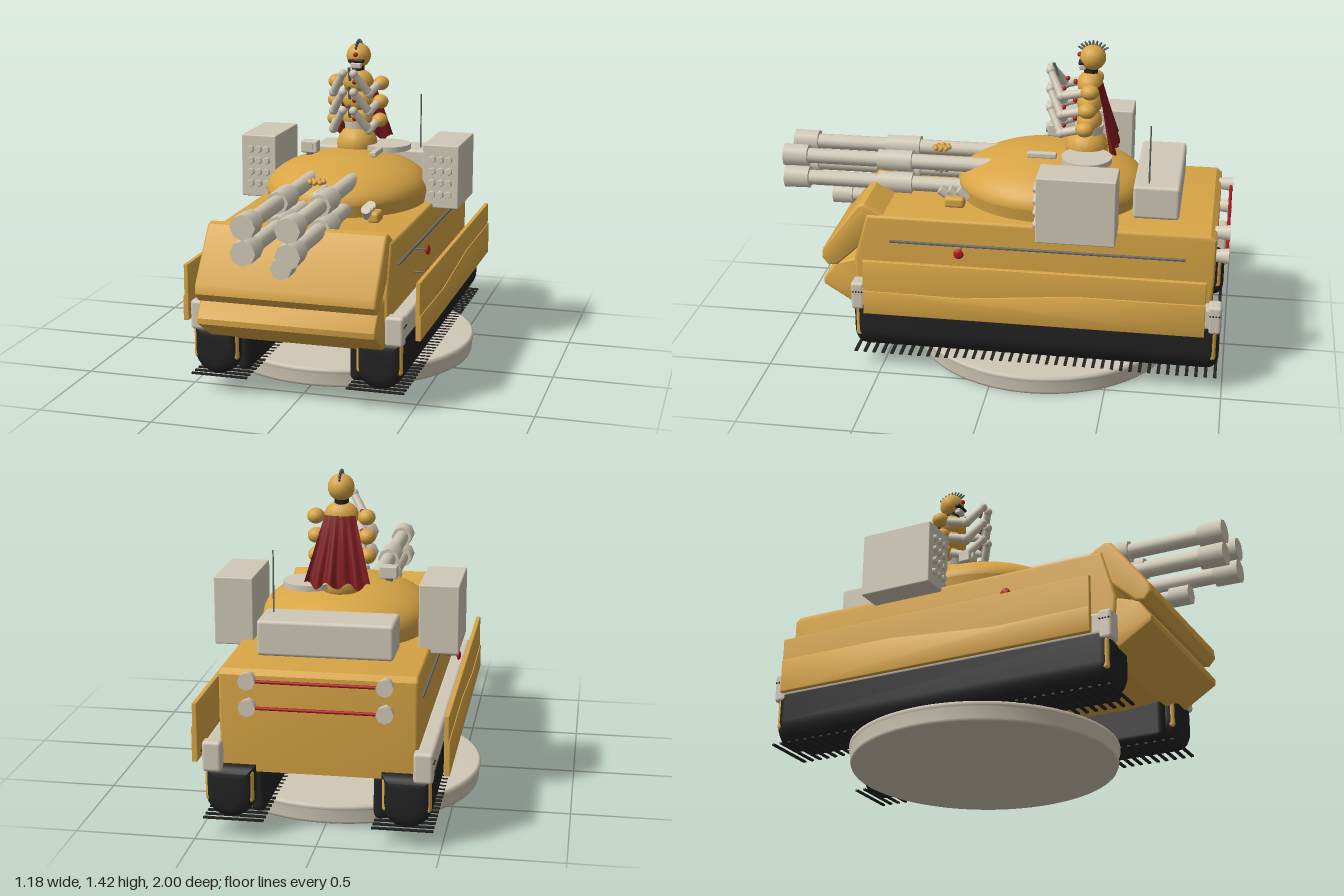
import * as THREE from 'three';
import { toCreasedNormals } from 'three/addons/utils/BufferGeometryUtils.js';
import { RoundedBoxGeometry } from 'three/addons/geometries/RoundedBoxGeometry.js';

const mat = (name, color, side = THREE.FrontSide) => {
  const m = new THREE.MeshStandardMaterial({ color, side });
  m.name = name;
  return m;
};
const V = (x, y, z) => new THREE.Vector3(x, y, z);

export function createModel() {
  const gold = mat('gold', 0xd8a545), ivory = mat('ivory', 0xd0c8b6), black = mat('black', 0x222222);
  const red = mat('red', 0xb0181f), crimson = mat('crimson', 0x7c181b, THREE.DoubleSide), steel = mat('steel', 0x64686a);
  const root = new THREE.Group();

  const group = (name, parent = root) => {
    const g = new THREE.Group();
    g.name = name;
    parent.add(g);
    return g;
  };
  const add = (parent, name, geo, m, x = 0, y = 0, z = 0) => {
    const mesh = new THREE.Mesh(geo, m);
    mesh.name = name;
    mesh.position.set(x, y, z);
    parent.add(mesh);
    return mesh;
  };
  const box = (p, name, m, w, h, d, x, y, z, r = 0.015) =>
    add(p, name, new RoundedBoxGeometry(w, h, d, 2, r), m, x, y, z);
  const ball = (p, name, m, r, x, y, z, sx = 1, sy = 1, sz = 1) => {
    const b = add(p, name, new THREE.SphereGeometry(r, 16, 12), m, x, y, z);
    b.scale.set(sx, sy, sz);
    return b;
  };
  // Cylinder from point a to point b
  const rod = (p, name, m, a, b, r0, r1 = r0, sides = 12) => {
    const c = add(p, name, new THREE.CylinderGeometry(r1, r0, a.distanceTo(b), sides), m);
    c.position.copy(a).add(b).multiplyScalar(0.5);
    c.quaternion.setFromUnitVectors(V(0, 1, 0), b.clone().sub(a).normalize());
    return c;
  };
  const extrude = (shape, depth, bevel) => {
    const g = new THREE.ExtrudeGeometry(shape, {
      depth: depth - 2 * bevel, bevelEnabled: true, bevelThickness: bevel, bevelSize: bevel,
      bevelOffset: -bevel, bevelSegments: 4, curveSegments: 12,
    });
    g.translate(0, 0, bevel - depth / 2);
    return toCreasedNormals(g, 0.6);
  };
  // Side profile given as [z, y] points, extruded across x
  const sideProfile = (pts, width, bevel) =>
    extrude(new THREE.Shape(pts.map(([z, y]) => new THREE.Vector2(z, y))), width, bevel).rotateY(-Math.PI / 2);

  // Display base
  add(root, 'displayBase', new THREE.LatheGeometry([[0, 0], [0.58, 0], [0.585, 0.012], [0.585, 0.06], [0.592, 0.065],
    [0.592, 0.08], [0.58, 0.086], [0, 0.086]].map(([x, y]) => new THREE.Vector2(x, y)), 64), ivory, 0, 0, -0.18);

  // Hull with sloped nose plates
  const hull = group('hull');
  add(hull, 'hullBody', sideProfile([[-0.93, 0.28], [-0.945, 0.5], [-0.945, 0.69], [-0.92, 0.71], [0.56, 0.71],
    [0.62, 0.5], [0.6, 0.27], [0.4, 0.25], [-0.7, 0.25]], 0.8, 0.012), gold);
  add(hull, 'upperNosePlate', sideProfile([[0.49, 0.71], [0.57, 0.757], [0.6, 0.75], [0.765, 0.53], [0.77, 0.49],
    [0.74, 0.455], [0.7, 0.46], [0.55, 0.6]], 0.78, 0.012), gold);
  add(hull, 'lowerNosePlate', sideProfile([[0.6, 0.5], [0.71, 0.465], [0.767, 0.385], [0.765, 0.36], [0.63, 0.275],
    [0.58, 0.25], [0.5, 0.3]], 0.77, 0.012), gold);

  // Nose gun
  rod(hull, 'noseGunBarrel', ivory, V(0, 0.635, 0.6), V(0, 0.635, 0.75), 0.032);
  rod(hull, 'noseGunMuzzle', ivory, V(0, 0.635, 0.715), V(0, 0.635, 0.805), 0.045, 0.045, 8);

  for (const s of [-1, 1]) {
    // Track unit
    const track = group(s > 0 ? 'leftTrack' : 'rightTrack');
    const u = new THREE.Shape();
    u.moveTo(-0.105, 0.31);
    u.lineTo(-0.105, 0.19);
    u.absarc(0, 0.19, 0.105, Math.PI, 2 * Math.PI, false);
    u.lineTo(0.105, 0.31);
    add(track, 'trackBelt', extrude(u, 1.6, 0.05), black, s * 0.36, 0, -0.18);
    box(track, 'trackInnerRun', black, 0.06, 0.2, 1.5, s * 0.25, 0.2, -0.18, 0.028);
    box(track, 'trackEndGuard', gold, 0.2, 0.14, 1.575, s * 0.36, 0.225, -0.18);
    for (let i = 0; i < 40; i++)
      add(track, 'cleat', new THREE.BoxGeometry(0.25, 0.007, 0.014), black, s * 0.345, 0.084, 0.61 - i * 0.0405);

    // Fender and its end caps
    box(track, 'fender', ivory, 0.07, 0.1, 1.58, s * 0.43, 0.355, -0.18);
    for (const z of [0.595, -0.955]) {
      box(track, 'fenderCap', ivory, 0.08, 0.13, 0.06, s * 0.427, 0.35, z);
      for (let i = 0; i < 4; i++) ball(track, 'rivet', black, 0.004, s * 0.468, 0.373, z - 0.02 + i * 0.013);
    }

    // Side skirt in two overlapping panels
    const skirt = group(s > 0 ? 'leftSkirt' : 'rightSkirt');
    add(skirt, 'skirtPanel', sideProfile([[-0.915, 0.31], [0.555, 0.31], [0.555, 0.55], [-0.915, 0.55]], 0.02, 0.004),
      gold, s * 0.511);
    add(skirt, 'skirtLowerPanel', sideProfile([[-0.915, 0.3], [0.555, 0.3], [0.555, 0.41], [0.12, 0.405],
      [-0.37, 0.45], [-0.915, 0.45]], 0.024, 0.004), gold, s * 0.514);

    // Side rail and lamps
    box(hull, 'sideRail', steel, 0.012, 0.01, 1.28, s * 0.404, 0.597, -0.18, 0.003);
    for (const y of [0.582, 0.478]) {
      ball(hull, 'sideLamp', red, 0.022, s * 0.457, y, 0.145, 0.45, 1, 1);
      rod(hull, 'lampStem', steel, V(s * 0.4, y, 0.145), V(s * 0.455, y, 0.145), 0.004);
    }

    // Rocket pod with twelve tubes
    const pod = group(s > 0 ? 'leftRocketPod' : 'rightRocketPod');
    box(pod, 'podCase', ivory, 0.168, 0.292, 0.335, s * 0.433, 0.832, -0.36, 0.006);
    for (let i = 0; i < 12; i++) {
      const x = s * 0.433 + (i % 3 - 1) * 0.038, y = 0.75 + Math.floor(i / 3) * 0.054;
      rod(pod, 'rocketTip', ivory, V(x, y, -0.2), V(x, y, -0.178), 0.02, 0.015, 6);
    }

    // Twin cannons on each side, with sleeve and muzzle
    for (const y of [0.85, 0.745]) {
      const gun = group('cannon'), x = s * 0.092;
      rod(gun, 'barrel', ivory, V(x, y, 0.02), V(x, y, 0.92), 0.034);
      rod(gun, 'barrelTail', ivory, V(x, y, -0.03), V(x, y, 0.1), 0.004, 0.034);
      rod(gun, 'sleeve', ivory, V(x, y, 0.415), V(x, y, 0.57), 0.051, 0.049, 8);
      rod(gun, 'muzzle', ivory, V(x, y, 0.89), V(x, y, 1), 0.051, 0.053, 8);
    }

    // Smoke launchers
    for (let i = 0; i < 3; i++)
      rod(root, 'smokeLauncher', ivory, V(s * 0.205, 0.735, 0.15 + i * 0.035), V(s * 0.21, 0.775, 0.19 + i * 0.04), 0.022);
    box(root, 'launcherBracket', gold, 0.05, 0.05, 0.09, s * 0.235, 0.73, 0.2);

    // Rear lamps
    for (const y of [0.57, 0.68])
      rod(hull, 'rearLamp', ivory, V(s * 0.275, y, -0.935), V(s * 0.275, y, -1), 0.027, 0.036, 8);
  }
  for (const y of [0.57, 0.68]) rod(hull, 'rearBar', red, V(-0.27, y, -0.99), V(0.27, y, -0.99), 0.007);

  // Turret dome and fittings
  const turret = group('turret');
  const dome = add(turret, 'turretDome', new THREE.SphereGeometry(1, 48, 12, 0, 2 * Math.PI, 0, Math.PI / 2), gold, 0, 0.765, -0.2);
  dome.scale.set(0.37, 0.16, 0.42);
  const ring = add(turret, 'turretRing', new THREE.CylinderGeometry(1, 0.97, 0.06, 48), gold, 0, 0.736, -0.2);
  ring.scale.set(0.37, 1, 0.42);
  box(turret, 'stowageBox', ivory, 0.56, 0.15, 0.2, 0, 0.795, -0.68);
  rod(turret, 'antenna', steel, V(0.235, 0.86, -0.645), V(0.235, 1.13, -0.645), 0.004, 0.003, 6);
  rod(turret, 'hatchLid', ivory, V(0.14, 0.915, -0.365), V(0.14, 0.94, -0.365), 0.11, 0.11, 24);
  box(turret, 'sightBox', ivory, 0.078, 0.055, 0.055, -0.178, 0.943, -0.185, 0.006);
  rod(turret, 'sightLens', ivory, V(-0.178, 0.945, -0.16), V(-0.178, 0.945, -0.148), 0.022);
  box(turret, 'sightStand', steel, 0.03, 0.06, 0.03, -0.178, 0.89, -0.185, 0.004);
  box(turret, 'sideArmGun', ivory, 0.03, 0.025, 0.13, 0.14, 0.935, -0.17, 0.006);

  // Beaded ornaments between the cannons
  rod(turret, 'ornamentArm', ivory, V(0, 0.83, 0.1), V(0, 0.83, 0.31), 0.018);
  ball(turret, 'ornamentHub', ivory, 0.02, 0, 0.83, 0.31);
  for (const y of [0.79, 0.89]) {
    ball(turret, 'ornamentCore', gold, 0.022, 0, y, 0.3, 1, 0.5, 1);
    for (let i = 0; i < 8; i++) {
      const a = i * Math.PI / 4;
      ball(turret, 'ornamentBead', gold, 0.011, 0.032 * Math.cos(a), y, 0.3 + 0.032 * Math.sin(a));
    }
  }

  // Commander: stacked armour with three pairs of arms
  const fig = group('commander');
  ball(fig, 'cupola', gold, 0.095, 0, 0.935, -0.35, 1, 0.95, 1);
  rod(fig, 'waistRing', ivory, V(0, 1.0, -0.36), V(0, 1.04, -0.36), 0.06, 0.065);
  [1.05, 1.135, 1.22].forEach((y, k) => {
    ball(fig, 'chestPlate', gold, 0.07, 0, y + 0.005, -0.36, 1.05, 0.85, 0.8);
    ball(fig, 'chestGem', red, 0.011, 0, y + 0.01, -0.297);
    for (const s of [-1, 1]) {
      const z = -0.35 - k * 0.01;
      const shoulder = V(s * 0.1, y, z), elbow = V(s * 0.085, y - 0.03, -0.245), hand = V(s * 0.025, y + 0.065, -0.19);
      ball(fig, 'shoulderPad', gold, 0.037, s * 0.108, y, z, 1, 0.9, 1.1);
      rod(fig, 'upperArm', ivory, shoulder, elbow, 0.019);
      ball(fig, 'elbow', ivory, 0.022, ...elbow.toArray());
      rod(fig, 'forearm', ivory, elbow, hand, 0.02, 0.016);
      ball(fig, 'hand', ivory, 0.02, ...hand.toArray());
      ball(fig, 'cuffGem', red, 0.01, s * 0.07, y, -0.255);
    }
    rod(fig, 'heldPiece', steel, V(0, y + 0.03, -0.22), V(0, y + 0.09, -0.2), 0.007);
  });

  // Head with visor and fanned crest
  rod(fig, 'neck', black, V(0, 1.26, -0.36), V(0, 1.31, -0.365), 0.03);
  ball(fig, 'helmet', gold, 0.057, 0, 1.345, -0.37);
  box(fig, 'visor', black, 0.075, 0.016, 0.03, 0, 1.325, -0.325, 0.006);
  box(fig, 'faceGuard', ivory, 0.05, 0.025, 0.03, 0, 1.303, -0.328, 0.006);
  ball(fig, 'helmetGem', red, 0.011, 0, 1.355, -0.313);
  for (let i = 0; i < 9; i++) {
    const a = (i - 4) * 0.22, c = Math.cos(a), t = Math.sin(a);
    rod(fig, 'crestBlade', steel, V(0, 1.345 + 0.05 * c, -0.37 + 0.05 * t), V(0, 1.34 + 0.08 * c, -0.37 + 0.085 * t), 0.006, 0.004, 6);
  }

  // Cape: a sheet that flares and folds toward the hem
  const cape = new THREE.PlaneGeometry(1, 1, 24, 8), p = cape.attributes.position;
  for (let i = 0; i < p.count; i++) {
    const x = p.getX(i), t = 0.5 - p.getY(i);
    p.setXYZ(i, x * (0.13 + 0.15 * t), 1.23 - t * (0.285 + 0.015 * Math.cos(x * 20)),
      -0.415 - 0.07 * t + 0.06 * x * x + 0.013 * t * Math.cos(x * 30));
  }
  cape.computeVertexNormals();
  add(fig, 'cape', cape, crimson);

  return root;
}
